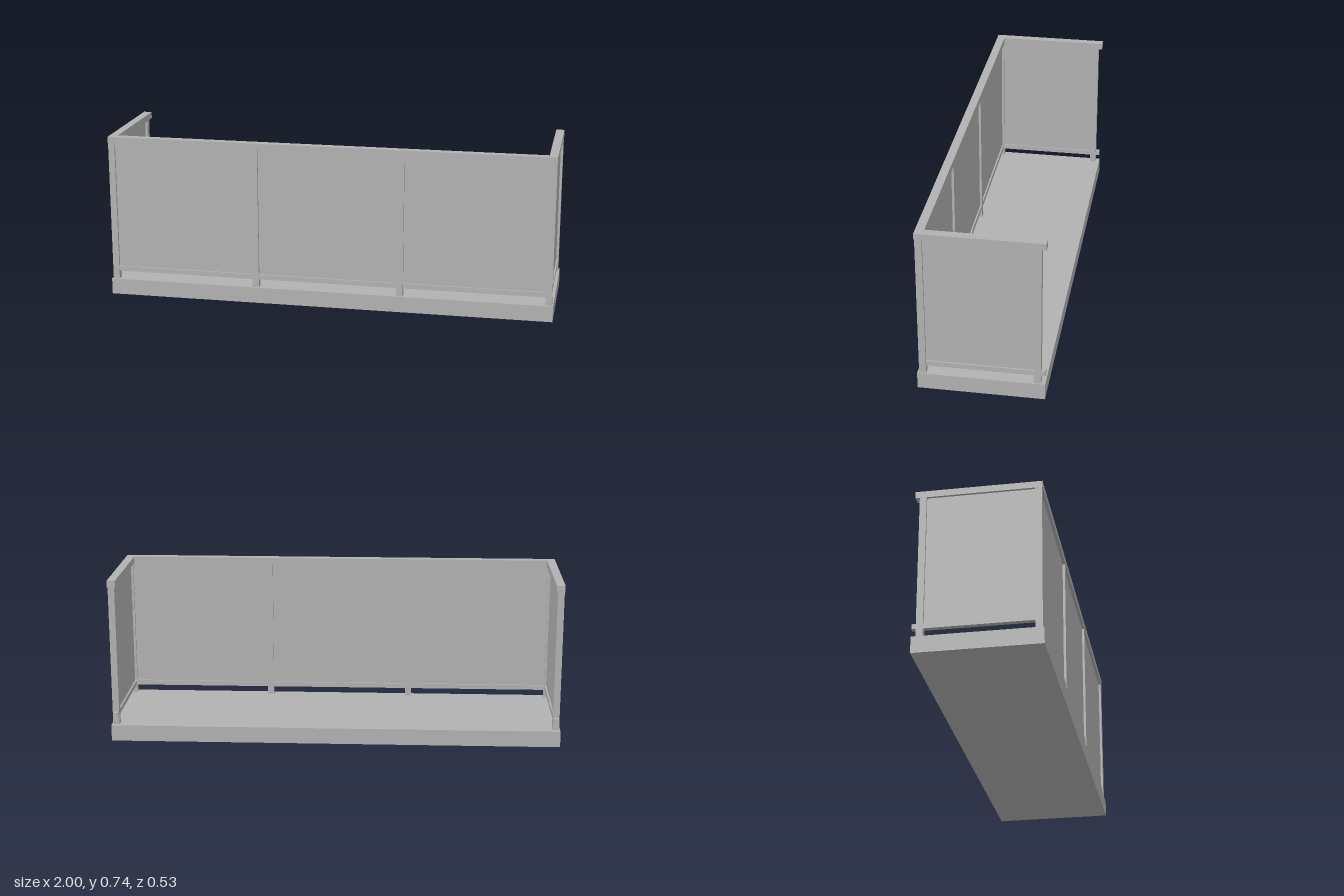
import * as THREE from 'three';

export function createModel() {
  const model = new THREE.Group();
  const grey = new THREE.MeshStandardMaterial({ color: 0xb2b2b2 });
  grey.name = 'concreteGrey';

  // Box given by its extents along each axis
  function box(name, [x0, x1], [y0, y1], [z0, z1]) {
    const mesh = new THREE.Mesh(new THREE.BoxGeometry(x1 - x0, y1 - y0, z1 - z0), grey);
    mesh.position.set((x0 + x1) / 2, (y0 + y1) / 2, (z0 + z1) / 2);
    mesh.name = name;
    model.add(mesh);
  }
  // Extents around a centre
  const around = (c, width) => [c - width / 2, c + width / 2];

  const back = -0.265;
  const slabTop = 0.072, railBase = 0.706, railTop = 0.735;
  const lowRail = [0.108, 0.13];
  const infill = [0.13, railBase];
  const postSize = 0.029, panelSize = 0.008, lowSize = 0.022;
  const postX = 0.98, frontZ = 0.245, rearZ = -0.2325;

  // Floor slab
  box('floorSlab', [-1, 1], [0, slabTop], [back, 0.267]);

  // Posts along the front
  const frontPosts = [-postX, -0.326, 0.326, postX];
  for (const x of frontPosts) {
    box('frontPost', around(x, postSize), [slabTop, railBase], around(frontZ, postSize));
  }

  // Front rails and three infill panels
  box('frontHandrail', [-0.995, 0.995], [railBase, railTop], [0.225, 0.262]);
  box('frontLowerRail', [-postX, postX], lowRail, around(frontZ, lowSize));
  for (let i = 0; i < 3; i++) {
    box('frontPanel', [frontPosts[i], frontPosts[i + 1]], infill, around(frontZ, panelSize));
  }

  // Both sides: rear post, rails running past it, and an infill panel
  for (const [side, s] of [['left', 1], ['right', -1]]) {
    const x = s * postX;
    box(side + 'RearPost', around(x, postSize), [slabTop, railBase], around(rearZ, postSize));
    box(side + 'Handrail', around(s * 0.9765, 0.037), [railBase, railTop], [back, 0.225]);
    box(side + 'LowerRail', around(x, lowSize), lowRail, [back, frontZ]);
    box(side + 'Panel', around(x, panelSize), infill, [rearZ, frontZ]);
  }

  return model;
}
